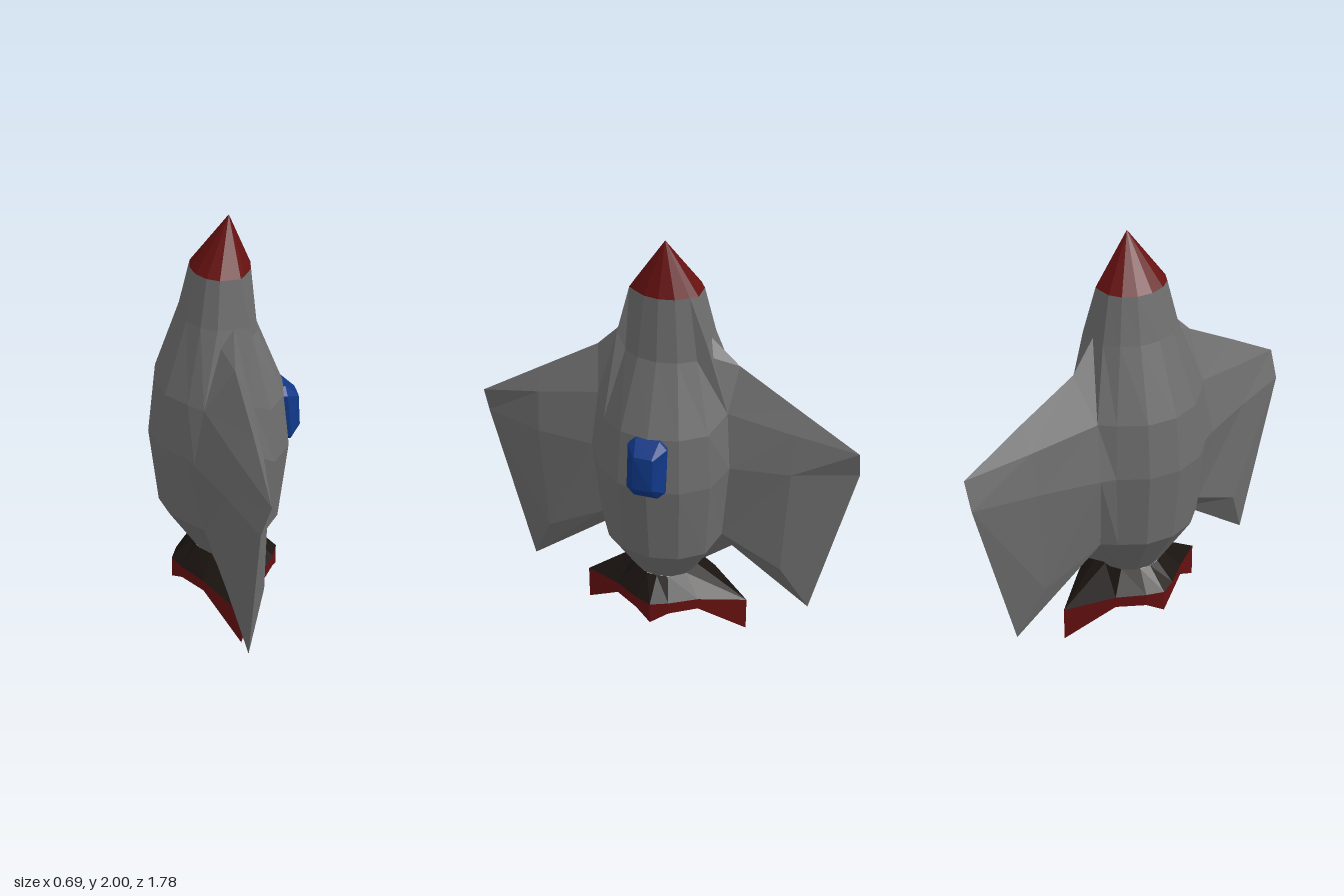
import * as THREE from 'three';

const SIDES = 14;
const V = (x, y, z) => new THREE.Vector3(x, y, z);
const material = (color) => new THREE.MeshStandardMaterial({ color, flatShading: true });
const grey = material(0x6e6e6e);
const red = material(0x661010);
const dark = material(0x1a1410);
const blue = material(0x103888);

// Skins equal-length rings of points; optional apex points close either end.
function loft(name, mat, rings, startApex, endApex) {
  const n = rings[0].length;
  const points = rings.flat();
  const index = [];
  for (let r = 0; r < rings.length - 1; r++) {
    for (let i = 0; i < n; i++) {
      const a = r * n + i, b = r * n + (i + 1) % n;
      index.push(a, b, a + n, b, b + n, a + n);
    }
  }
  if (startApex) {
    const c = points.push(startApex) - 1;
    for (let i = 0; i < n; i++) index.push(c, (i + 1) % n, i);
  }
  if (endApex) {
    const c = points.push(endApex) - 1, o = (rings.length - 1) * n;
    for (let i = 0; i < n; i++) index.push(c, o + i, o + (i + 1) % n);
  }
  const geometry = new THREE.BufferGeometry().setFromPoints(points);
  geometry.setIndex(index);
  geometry.computeVertexNormals();
  const mesh = new THREE.Mesh(geometry, mat);
  mesh.name = name;
  return mesh;
}

// Elliptical ring, its window side stepped to yFront. The columns next to
// the wings are spread to wingBack and wingFront to meet the wing roots.
function hullRing([cx, rx, rz, yBack, yFront, wingBack, wingFront]) {
  return Array.from({ length: SIDES }, (_, i) => {
    const a = i / SIDES * Math.PI * 2, c = Math.cos(a), s = Math.sin(a);
    const besideWing = Math.abs(s) > 0.9;
    const x = besideWing ? (c > 0 ? wingFront : wingBack) : cx + rx * c;
    return V(x, c > 0.5 ? yFront : yBack, -rz * s);
  });
}

// Wing sections from root to tip, each running lead, -x side, trail, +x side
const wingSections = [
  [[0, 1.56, 0.205], [-0.07, 1.5, 0.2], [-0.17, 0.97, 0.22], [-0.1, 0.5, 0.2],
    [-0.01, 0.33, 0.14], [0.05, 0.5, 0.2], [0.08, 0.97, 0.22], [0.06, 1.5, 0.2]],
  [[-0.02, 1.43, 0.33], [-0.15, 1.23, 0.302], [-0.2, 0.97, 0.327], [-0.15, 0.59, 0.292],
    [-0.02, 0.46, 0.315], [0.08, 0.59, 0.292], [0.1, 0.97, 0.327], [0.065, 1.23, 0.302]],
  [[0, 1.275, 0.6], [-0.07, 1.165, 0.6], [-0.11, 0.97, 0.6], [-0.1, 0.44, 0.57],
    [-0.03, 0.18, 0.69], [0.065, 0.44, 0.57], [0.07, 0.97, 0.6], [0.045, 1.165, 0.6]],
  [[0.015, 1.105, 0.89], [0.015, 1.105, 0.89], [-0.03, 0.97, 0.89], [-0.03, 0.97, 0.89],
    [-0.03, 0.97, 0.89], [-0.03, 0.97, 0.89], [-0.03, 0.97, 0.89], [0.015, 1.105, 0.89]],
];

function wing(name, side) {
  const rings = wingSections.map((section) => {
    const ring = section.map(([x, y, z]) => V(x, y, z * side));
    return side < 0 ? ring.reverse() : ring;
  });
  return loft(name, grey, rings);
}

// Four-pointed skirt outline: one quarter [x, z, yTop, yBottom], mirrored around
function skirtRings() {
  const quarter = [[0.255, 0, 0.235, 0.13], [0.22, 0.08, 0.235, 0.175],
    [0.14, 0.2, 0.23, 0.175], [0, 0.4, 0.17, 0]];
  const back = quarter.slice(1, 3).reverse().map(([x, z, t, b]) => [-x, z, t, b]);
  const half = [...quarter, ...back];
  const full = [...half, ...half.map(([x, z, t, b]) => [-x, -z, t, b])];
  return {
    top: full.map(([x, z, t]) => V(x, t, -z)),
    bottom: full.map(([x, z, , b]) => V(x, b, -z)),
    circle: (r, y) => full.map(([x, z]) => {
      const l = Math.hypot(x, z);
      return V(x / l * r, y, -z / l * r);
    }),
  };
}

// Chamfered rectangle facing +x, tilted by a slope in y
function windowRing(w, h, c, x, slope) {
  return [[w, c - h], [w, h - c], [w - c, h], [c - w, h],
    [-w, h - c], [-w, c - h], [c - w, -h], [w - c, -h]]
    .map(([u, v]) => V(x + slope * v, 1.02 + v, -u));
}

export function createModel() {
  const model = new THREE.Group();
  model.name = 'rocketShip';

  // Hull and nose
  const hull = [
    [0, 0.15, 0.155, 0.33, 0.33, -0.035, 0.035],
    [-0.0275, 0.2825, 0.3, 0.59, 0.51, -0.15, 0.08],
    [-0.025, 0.325, 0.335, 0.97, 0.9, -0.2, 0.1],
    [-0.025, 0.295, 0.31, 1.23, 1.16, -0.15, 0.065],
    [-0.028, 0.173, 0.21, 1.56, 1.48, -0.07, 0.07],
    [-0.018, 0.133, 0.16, 1.77, 1.77, -0.05, 0.04],
  ].map(hullRing);
  model.add(loft('hull', grey, hull));
  model.add(loft('noseCone', red, [hull[5]], null, V(0.02, 2, 0)));

  // Wings
  model.add(wing('frontWing', 1), wing('backWing', -1));

  // Flared tail skirt with finned rim and hollow nozzle
  const skirt = skirtRings();
  const mouth = skirt.circle(0.15, 0.2);
  model.add(loft('tailCollar', dark, [skirt.top, skirt.circle(0.15, 0.33)]));
  model.add(loft('tailFinRim', red, [skirt.bottom, skirt.top]));
  model.add(loft('tailUnderside', grey, [mouth, skirt.bottom]));
  model.add(loft('nozzle', dark, [skirt.circle(0.08, 0.31), mouth], V(0, 0.32, 0)));

  // Raised window on the +x side
  model.add(loft('window', blue, [
    windowRing(0.085, 0.14, 0.03, 0.24, -0.125),
    windowRing(0.09, 0.14, 0.035, 0.285, -0.11),
    windowRing(0.045, 0.08, 0.005, 0.34, -0.06),
  ], null, V(0.345, 1.02, 0)));

  return model;
}
